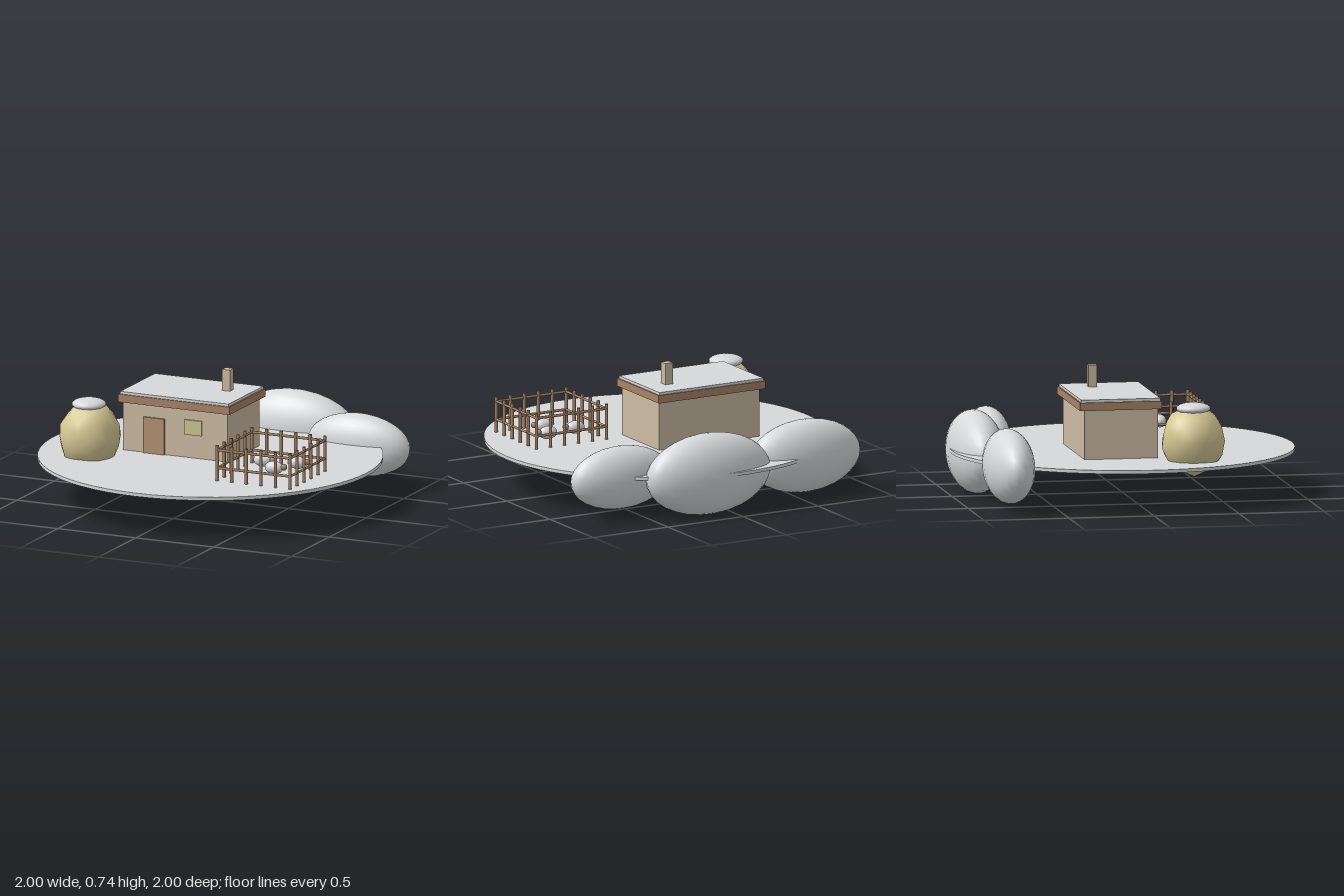
import * as THREE from 'three';
import { mergeVertices } from 'three/addons/utils/BufferGeometryUtils.js';

const material = (name, color) => {
  const m = new THREE.MeshStandardMaterial({ color });
  m.name = name;
  return m;
};

export function createModel() {
  const snow = material('snow', 0xd6d8da);
  const plaster = material('plaster', 0xcdbca4);
  const timber = material('timber', 0xa78465);
  const doorWood = material('door wood', 0xb39373);
  const straw = material('straw', 0xd6c994);
  const glow = material('window glow', 0xcdc891);

  const model = new THREE.Group();
  model.name = 'snowyFarm';

  const add = (parent, name, geometry, mat, x, y, z) => {
    const mesh = new THREE.Mesh(geometry, mat);
    mesh.name = name;
    mesh.position.set(x, y, z);
    parent.add(mesh);
    return mesh;
  };
  const box = (parent, name, mat, w, h, d, x, y, z) =>
    add(parent, name, new THREE.BoxGeometry(w, h, d), mat, x, y, z);
  const ellipsoid = (parent, name, mat, rx, ry, rz, x, y, z, seg = 24) =>
    add(parent, name, new THREE.SphereGeometry(1, seg, Math.round(seg * 0.66)).scale(rx, ry, rz), mat, x, y, z);
  const subgroup = (name) => {
    const g = new THREE.Group();
    g.name = name;
    model.add(g);
    return g;
  };

  // Snowy ground disc
  add(model, 'ground', new THREE.CylinderGeometry(1, 1, 0.02, 64), snow, 0, 0.257, 0);

  // Snow hills along the back
  const hills = subgroup('hills');
  ellipsoid(hills, 'leftHill', snow, 0.362, 0.215, 0.142, -0.543, 0.247, -0.77);
  ellipsoid(hills, 'middleHill', snow, 0.405, 0.24, 0.16, 0.14, 0.24, -0.838);
  ellipsoid(hills, 'rightHill', snow, 0.325, 0.185, 0.127, 0.63, 0.243, -0.672);

  // House
  const house = subgroup('house');
  box(house, 'walls', plaster, 0.67, 0.3, 0.43, -0.17, 0.41, -0.1);
  box(house, 'roof', timber, 0.712, 0.047, 0.482, -0.17, 0.578, -0.105);
  box(house, 'roofSnow', snow, 0.694, 0.016, 0.466, -0.17, 0.609, -0.105);
  box(house, 'chimney', plaster, 0.05, 0.15, 0.05, 0.03, 0.668, -0.17);
  box(house, 'door', doorWood, 0.135, 0.215, 0.02, -0.303, 0.373, 0.118);
  box(house, 'window', glow, 0.11, 0.088, 0.018, -0.053, 0.449, 0.118);

  // Lumpy haystack with a cap of snow
  const haystack = subgroup('haystack');
  let hay = new THREE.IcosahedronGeometry(1, 2);
  hay.deleteAttribute('normal');
  hay.deleteAttribute('uv');
  hay = mergeVertices(hay, 1e-3);
  const pos = hay.attributes.position;
  let seed = 7;
  const random = () => (seed = (seed * 16807) % 2147483647) / 2147483647;
  for (let i = 0; i < pos.count; i++) {
    const k = 0.94 + 0.08 * random();
    pos.setXYZ(i, pos.getX(i) * k, pos.getY(i) * k, pos.getZ(i) * k);
  }
  hay.scale(0.184, 0.208, 0.184);
  hay.computeVertexNormals();
  add(haystack, 'hay', hay, straw, -0.627, 0.382, 0.3);
  ellipsoid(haystack, 'haySnow', snow, 0.1, 0.034, 0.1, -0.635, 0.57, 0.3, 20);

  // Square fenced pen: six posts and two rails on each side
  const pen = subgroup('fence');
  const x0 = 0.298, z0 = 0.065, size = 0.467, steps = 5;
  const postGeometry = new THREE.CylinderGeometry(0.01, 0.01, 0.23, 8);
  for (let i = 0; i <= steps; i++) {
    for (let j = 0; j <= steps; j++) {
      if (i % steps && j % steps) continue;
      add(pen, 'post', postGeometry, timber, x0 + (size * i) / steps, 0.362, z0 + (size * j) / steps);
    }
  }
  const mid = size / 2;
  const railGeometry = new THREE.CylinderGeometry(0.008, 0.008, size, 6);
  for (const y of [0.343, 0.45]) {
    for (const side of [0, size]) {
      add(pen, 'railAcross', railGeometry, timber, x0 + mid, y, z0 + side).rotation.z = Math.PI / 2;
      add(pen, 'railAlong', railGeometry, timber, x0 + side, y, z0 + mid).rotation.x = Math.PI / 2;
    }
  }

  // Sheep facing the model's left
  for (const [x, z] of [[0.43, 0.197], [0.632, 0.162], [0.565, 0.328]]) {
    const sheep = subgroup('sheep');
    ellipsoid(sheep, 'sheepBody', snow, 0.058, 0.038, 0.039, x, 0.328, z, 14);
    ellipsoid(sheep, 'sheepHead', timber, 0.019, 0.019, 0.019, x + 0.064, 0.336, z, 10);
  }

  return model;
}
